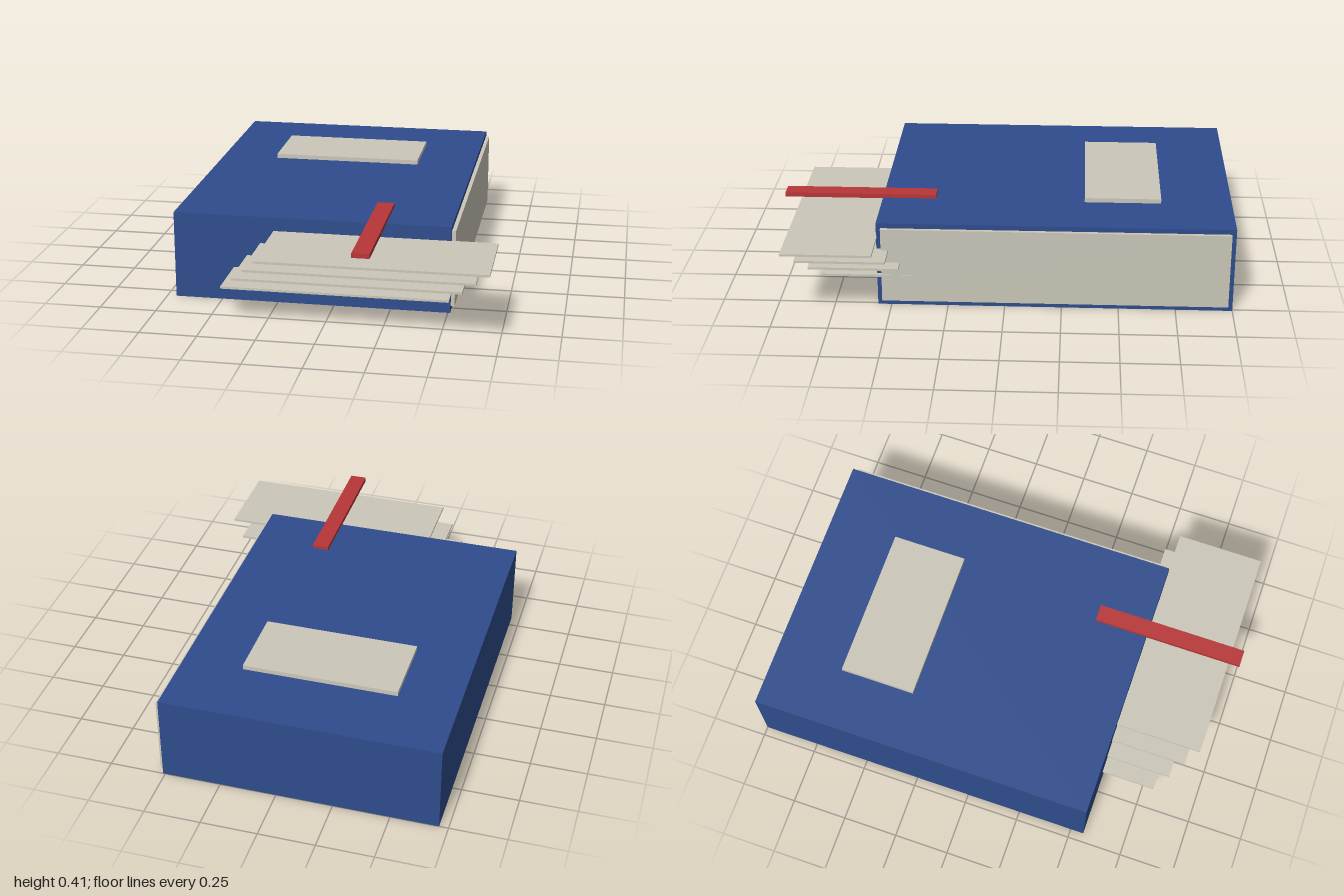
import * as THREE from 'three';

const coverBlue = new THREE.MeshStandardMaterial({ color: 0x2e4c8c });
coverBlue.name = 'coverBlue';
const paperCream = new THREE.MeshStandardMaterial({ color: 0xcbc7b9 });
paperCream.name = 'paperCream';
const ribbonRed = new THREE.MeshStandardMaterial({ color: 0xb83638 });
ribbonRed.name = 'ribbonRed';

// Box given by its lower and upper corners
function box(name, material, min, max) {
  const size = max.map((v, i) => v - min[i]);
  const mesh = new THREE.Mesh(new THREE.BoxGeometry(...size), material);
  mesh.position.set(...max.map((v, i) => (v + min[i]) / 2));
  mesh.name = name;
  return mesh;
}

export function createModel() {
  const book = new THREE.Group();
  book.name = 'book';

  // Cover, with the page block standing slightly proud of the open side
  book.add(box('cover', coverBlue, [-0.71, 0, -1], [0.51, 0.39, 0.56]));
  book.add(box('pageBlock', paperCream, [0.4, 0.025, -0.98], [0.527, 0.368, 0.54]));

  // Title label and bookmark ribbon on top
  book.add(box('label', paperCream, [-0.445, 0.385, -0.685], [0.24, 0.41, -0.345]));
  book.add(box('ribbon', ribbonRed, [0.154, 0.387, 0.32], [0.229, 0.407, 1]));

  // Loose sheets fanning out of the front, each shifted sideways and forward
  const sheets = new THREE.Group();
  sheets.name = 'looseSheets';
  for (let i = 0; i < 4; i++) {
    const x = -0.445 + i * 0.06;
    const y = 0.147 + i * 0.059;
    const z = 0.41 + i * 0.049;
    sheets.add(box('sheet' + (i + 1), paperCream, [x, y - 0.005, z], [x + 0.975, y + 0.005, z + 0.393]));
  }
  book.add(sheets);
  return book;
}
